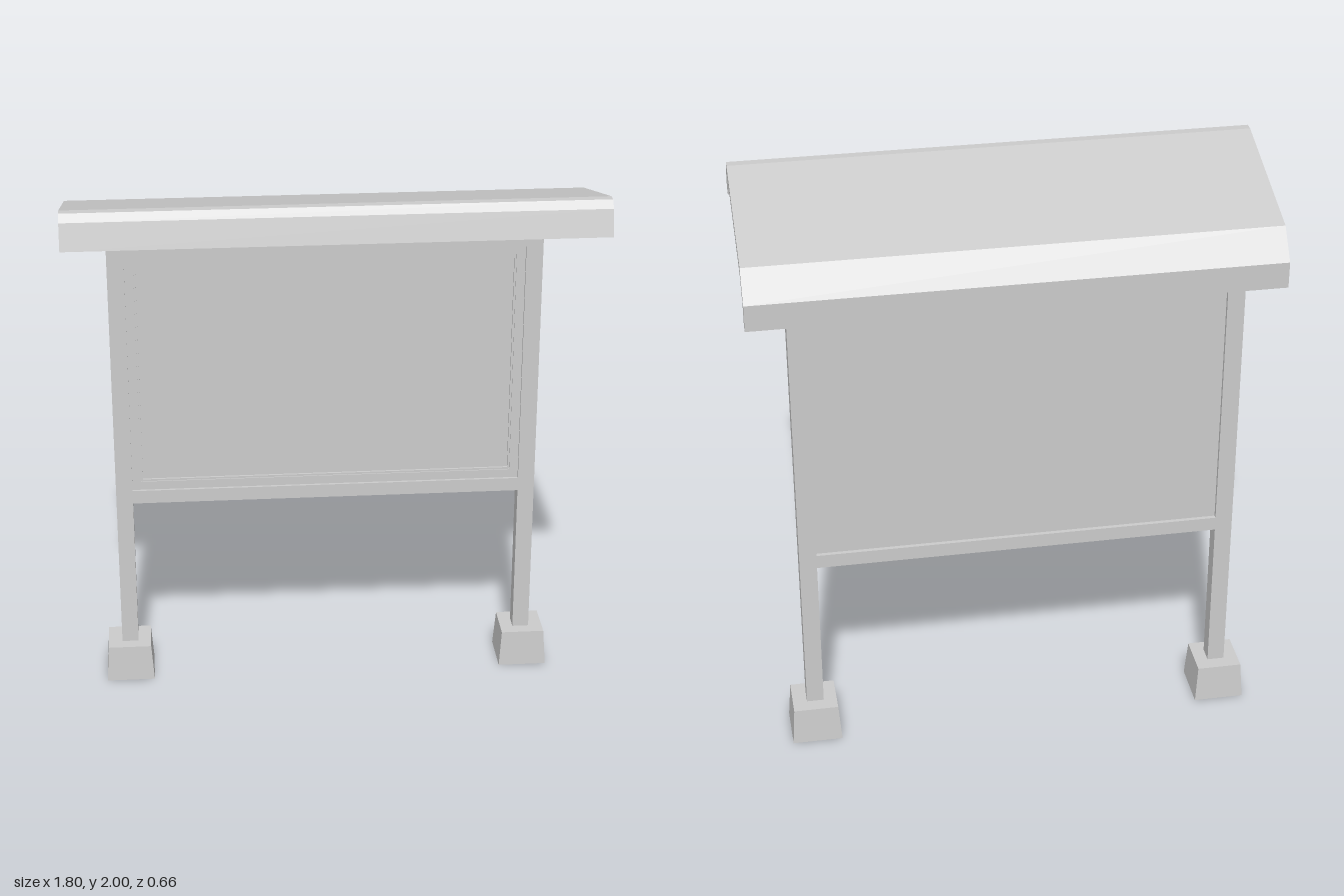
import * as THREE from 'three';

const material = new THREE.MeshStandardMaterial({ color: 0xcccccc, flatShading: true });

// Extrudes a side profile of [z, y] points along x, centred on cx.
function sideExtrude(name, points, width, cx = 0) {
  const shape = new THREE.Shape(points.map(([z, y]) => new THREE.Vector2(z, y)));
  const geo = new THREE.ExtrudeGeometry(shape, { depth: width, bevelEnabled: false });
  geo.translate(0, 0, -width / 2).rotateY(-Math.PI / 2).translate(cx, 0, 0);
  const mesh = new THREE.Mesh(geo, material);
  mesh.name = name;
  return mesh;
}

// Box given by its limits on each axis.
function box(name, x0, x1, y0, y1, z0, z1) {
  const geo = new THREE.BoxGeometry(x1 - x0, y1 - y0, z1 - z0);
  const mesh = new THREE.Mesh(geo, material);
  mesh.position.set((x0 + x1) / 2, (y0 + y1) / 2, (z0 + z1) / 2);
  mesh.name = name;
  return mesh;
}

// Rectangular ring facing the front.
function ring(name, hw, y0, y1, border, z0, z1) {
  const rect = (P, w, b, t) => new P([
    new THREE.Vector2(-w, b), new THREE.Vector2(w, b),
    new THREE.Vector2(w, t), new THREE.Vector2(-w, t)]);
  const shape = rect(THREE.Shape, hw, y0, y1);
  shape.holes.push(rect(THREE.Path, hw - border, y0 + border, y1 - border));
  const geo = new THREE.ExtrudeGeometry(shape, { depth: z1 - z0, bevelEnabled: false });
  const mesh = new THREE.Mesh(geo.translate(0, 0, z0), material);
  mesh.name = name;
  return mesh;
}

export function createModel() {
  const model = new THREE.Group();
  model.name = 'noticeBoard';

  // Folded sheet roof with a front lip and a rear skirt
  model.add(sideExtrude('roof', [
    [0.333, 1.885], [0.31, 1.975], [0.288, 2.0], [0.257, 2.0], [-0.228, 1.865],
    [-0.307, 1.768], [-0.307, 1.675], [-0.27, 1.675], [-0.27, 1.757],
    [-0.21, 1.83], [0.262, 1.963], [0.275, 1.957], [0.295, 1.877],
  ], 1.8));

  for (const side of [-1, 1]) {
    const label = side > 0 ? 'left' : 'right';

    // Post bending forward into the roof arm
    model.add(sideExtrude(label + 'PostAndArm', [
      [-0.27, 0.12], [-0.27, 1.757], [-0.21, 1.83], [0.225, 1.953],
      [0.24, 1.888], [-0.195, 1.775], [-0.21, 1.757], [-0.21, 0.12],
    ], 0.06, side * 0.735));

    // Tapered footing
    const geo = new THREE.CylinderGeometry(0.157 / Math.SQRT2, 0.176 / Math.SQRT2, 0.135, 4);
    const footing = new THREE.Mesh(geo.rotateY(Math.PI / 4), material);
    footing.position.set(side * 0.737, 0.0675, -0.242);
    footing.name = label + 'Footing';
    model.add(footing);
  }

  // Cross beam between the arms
  model.add(sideExtrude('crossBeam', [
    [-0.06, 1.81], [-0.066, 1.833], [-0.2, 1.798], [-0.195, 1.775],
  ], 1.41));

  // Rails, display frame and panel
  model.add(box('topRail', -0.705, 0.705, 1.66, 1.715, -0.27, -0.21));
  model.add(box('bottomRail', -0.705, 0.705, 0.707, 0.757, -0.27, -0.21));
  model.add(ring('displayFrame', 0.705, 0.757, 1.66, 0.032, -0.25, -0.22));
  model.add(ring('displayFrameInnerEdge', 0.673, 0.789, 1.628, 0.007, -0.25, -0.224));
  model.add(box('displayPanel', -0.705, 0.705, 0.757, 1.66, -0.256, -0.232));

  return model;
}
